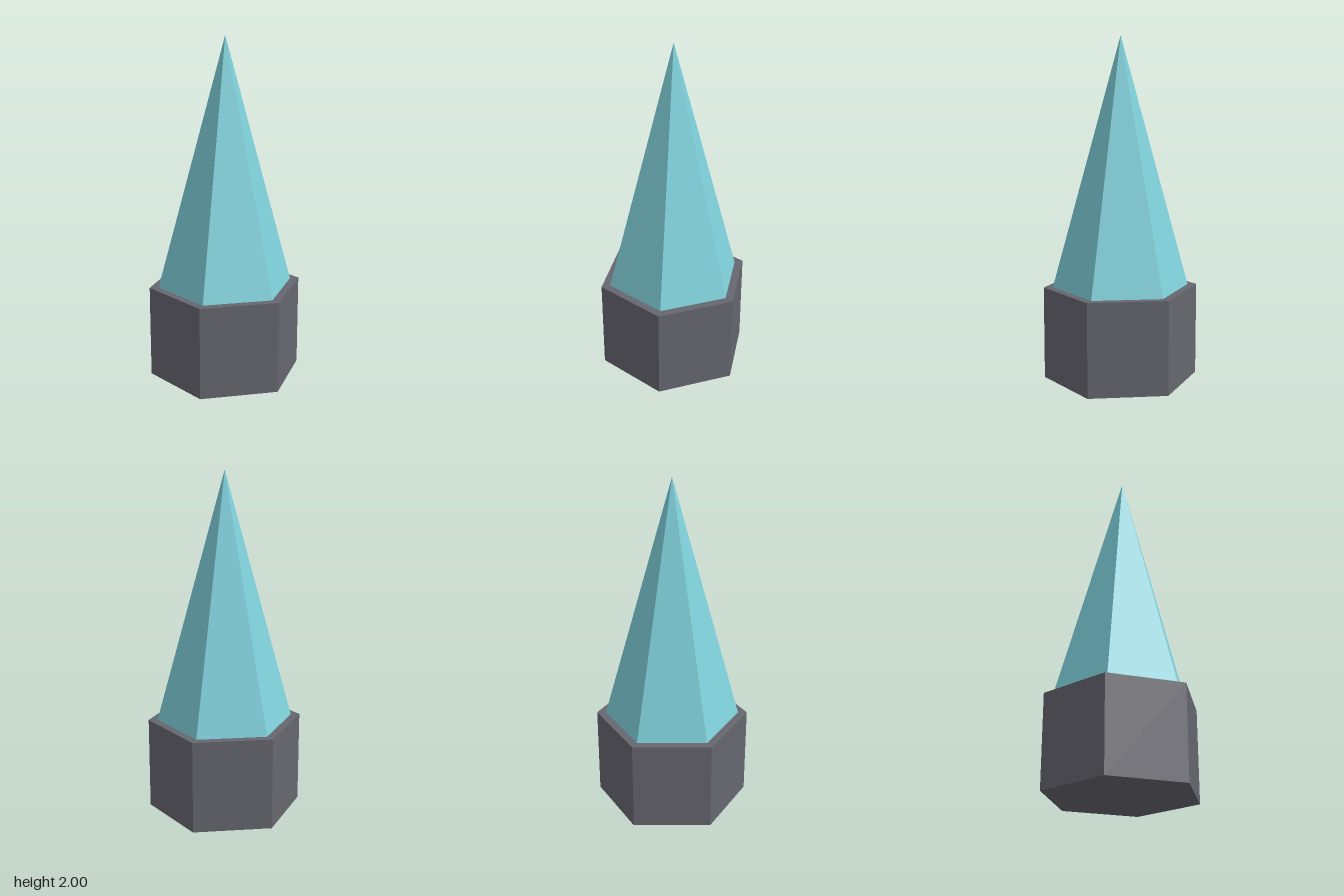
import * as THREE from 'three';

export function createModel() {
  const stone = new THREE.MeshStandardMaterial({ color: 0x66666f, flatShading: true });
  stone.name = 'grey stone';
  const crystal = new THREE.MeshStandardMaterial({ color: 0x7fd1db, flatShading: true });
  crystal.name = 'pale teal crystal';

  const SIDES = 6, BASE_R = 0.453, BASE_H = 0.545, SPIRE_R = 0.4, TOTAL_H = 2;
  const group = new THREE.Group();
  group.name = 'crystalSpire';

  // Hexagonal socket, with corners at front and back
  const base = new THREE.Mesh(
    new THREE.CylinderGeometry(BASE_R, BASE_R, BASE_H, SIDES), stone);
  base.name = 'base';
  base.position.y = BASE_H / 2;

  // Six-sided pointed spire standing on the socket
  const spireH = TOTAL_H - BASE_H;
  const spire = new THREE.Mesh(
    new THREE.ConeGeometry(SPIRE_R, spireH, SIDES, 1, true), crystal);
  spire.name = 'spire';
  spire.position.y = BASE_H + spireH / 2;

  group.add(base, spire);
  return group;
}
